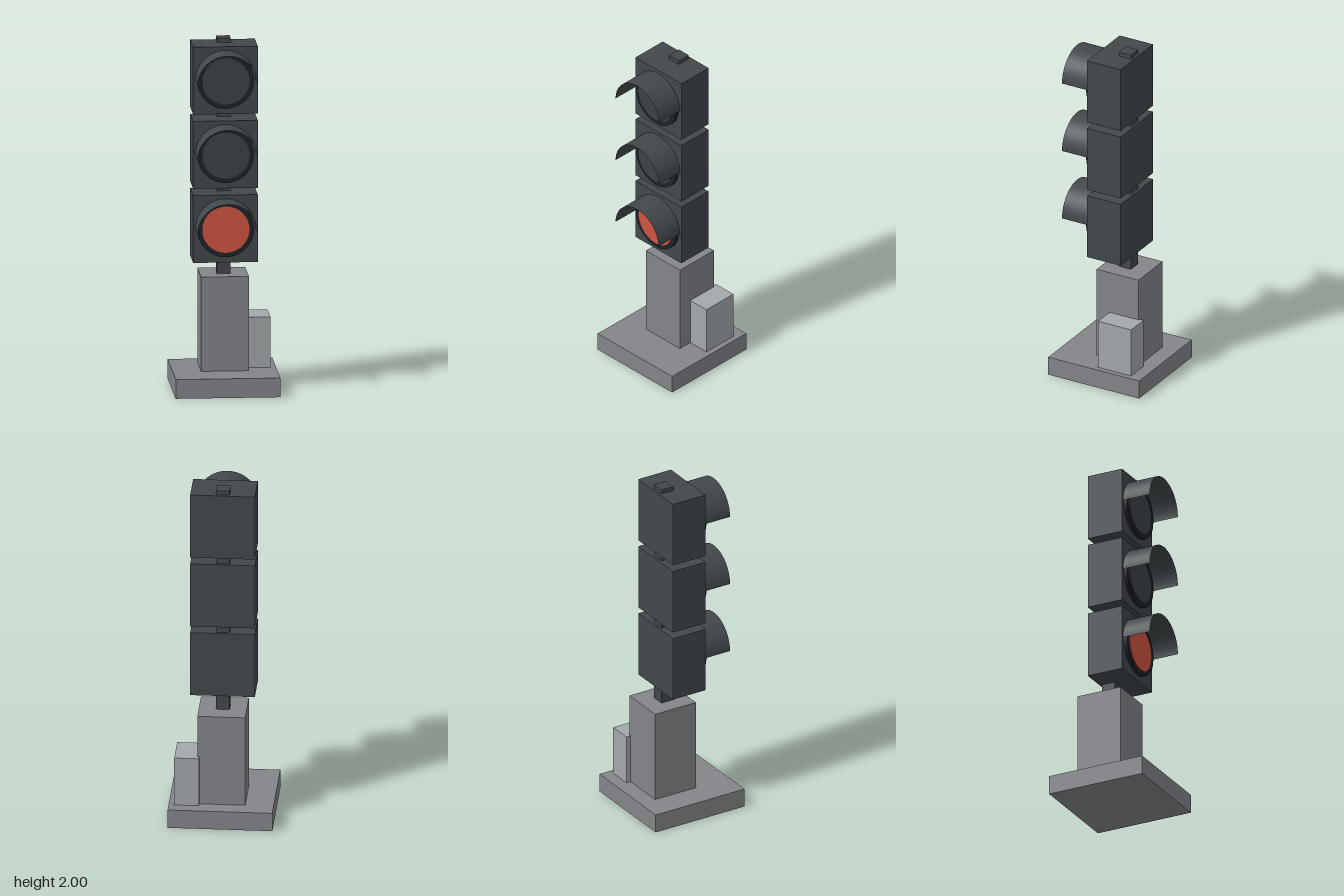
import * as THREE from 'three';

const mat = (name, color, opts = {}) => {
  const m = new THREE.MeshStandardMaterial({ color, ...opts });
  m.name = name;
  return m;
};

export function createModel() {
  const casing = mat('dark casing', 0x42484b);
  const visorMat = mat('dark casing', 0x42484b, { side: THREE.DoubleSide });
  const rim = mat('black rim', 0x1f222c);
  const unlit = mat('unlit lens', 0x3d4245);
  const red = mat('red lens', 0xd05541);
  const concrete = mat('grey concrete', 0x838589);
  const metal = mat('light grey metal', 0xa3a8ab);

  const model = new THREE.Group();
  model.name = 'signalLight';

  const add = (parent, name, geometry, material) => {
    const mesh = new THREE.Mesh(geometry, material);
    mesh.name = name;
    parent.add(mesh);
    return mesh;
  };

  // Box given by its limits on each axis
  const box = (parent, name, material, [x0, x1], [y0, y1], [z0, z1]) => {
    const g = new THREE.BoxGeometry(x1 - x0, y1 - y0, z1 - z0);
    g.translate((x0 + x1) / 2, (y0 + y1) / 2, (z0 + z1) / 2);
    return add(parent, name, g, material);
  };

  // Disc facing the front, from z0 to z1
  const disc = (parent, name, material, r, z0, z1) => {
    const g = new THREE.CylinderGeometry(r, r, z1 - z0, 48);
    g.rotateX(Math.PI / 2).translate(0, 0, (z0 + z1) / 2);
    return add(parent, name, g, material);
  };

  // Foot, pedestal, side cabinet and pole
  box(model, 'base', concrete, [-0.295, 0.295], [0, 0.11], [-0.295, 0.295]);
  box(model, 'pedestal', concrete, [-0.135, 0.135], [0.11, 0.65], [-0.198, 0.073]);
  box(model, 'cabinet', metal, [0.124, 0.263], [0.11, 0.4], [-0.225, -0.01]);
  box(model, 'pole', casing, [-0.039, 0.039], [0.65, 2], [-0.094, -0.016]);

  // Three stacked lamps, only the lowest lit
  [0.932, 1.357, 1.782].forEach((y, i) => {
    const lamp = new THREE.Group();
    lamp.name = `lamp${i + 1}`;
    lamp.position.y = y;
    model.add(lamp);

    box(lamp, 'housing', casing, [-0.182, 0.182], [-0.193, 0.193], [-0.109, 0.108]);
    disc(lamp, 'rim', rim, 0.159, 0.1, 0.128);
    disc(lamp, 'lens', i === 0 ? red : unlit, 0.133, 0.126, 0.132);

    // Half-round hood over the lens
    const hood = new THREE.CylinderGeometry(0.17, 0.17, 0.17, 32, 1, true, Math.PI / 2, Math.PI);
    hood.rotateX(Math.PI / 2).translate(0, 0.002, 0.193);
    add(lamp, 'visor', hood, visorMat);
  });

  return model;
}
